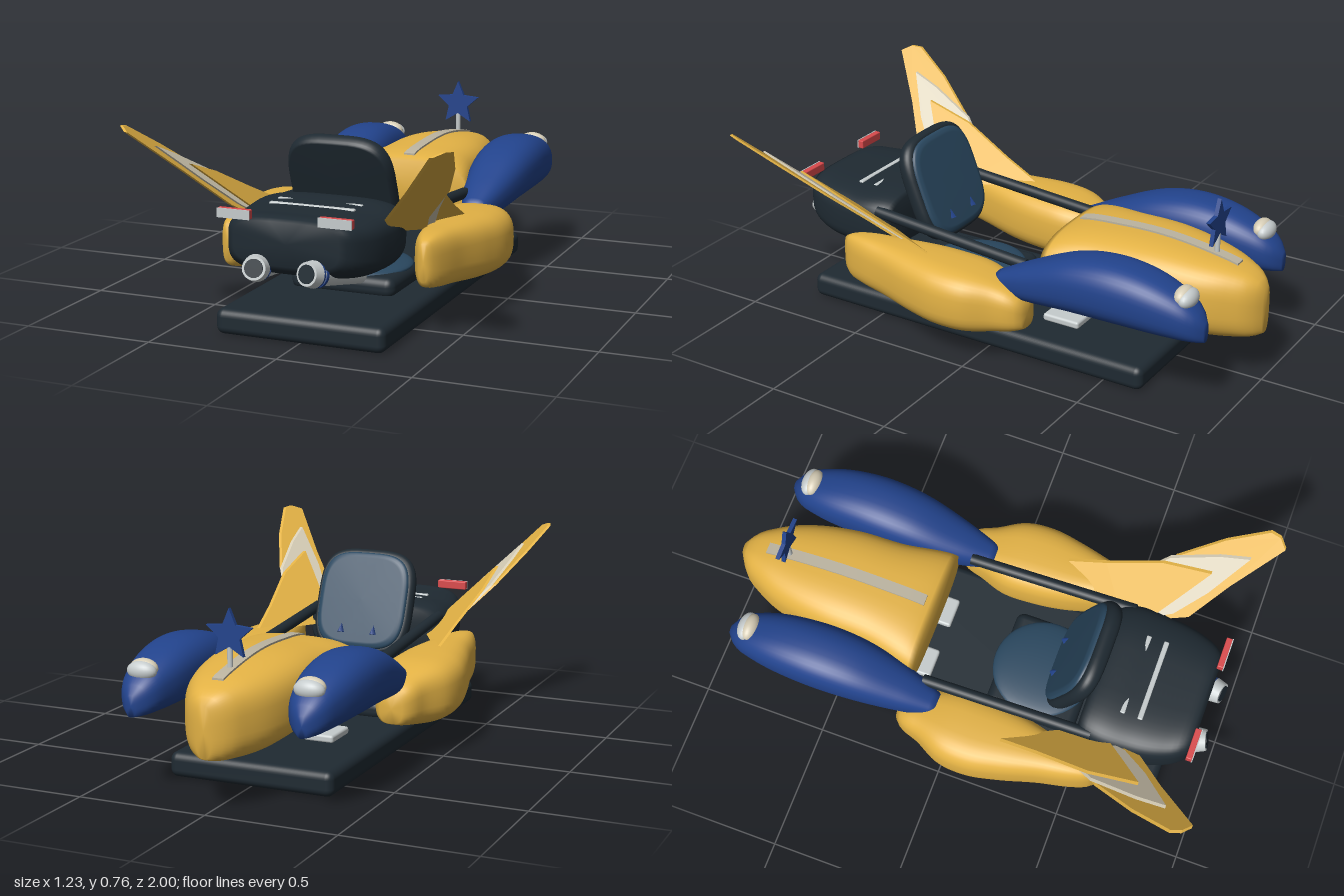
import * as THREE from 'three';
import { RoundedBoxGeometry } from 'three/addons/geometries/RoundedBoxGeometry.js';

const paint = (name, color) => Object.assign(new THREE.MeshStandardMaterial({ color }), { name });

export function createModel() {
  const model = new THREE.Group();
  model.name = 'hoverRide';
  const yellow = paint('yellow', 0xe3b245);
  const blue = paint('blue', 0x22438c);
  const dark = paint('darkSlate', 0x1f2a32);
  const teal = paint('seatBlue', 0x2a4860);
  const silver = paint('silver', 0xc6cccd);
  const cream = paint('cream', 0xd6cdb6);
  const warmGrey = paint('warmGrey', 0xbcb4a0);
  const red = paint('red', 0xda4a4c);

  const add = (name, geo, mat, x = 0, y = 0, z = 0, parent = model) => {
    const m = new THREE.Mesh(geo, mat);
    m.name = name;
    m.position.set(x, y, z);
    parent.add(m);
    return m;
  };
  const box = (w, h, d, r) => new RoundedBoxGeometry(w, h, d, 4, r);

  // Smooth interpolation through rows of [z, ...values]
  const profile = (rows) => {
    const n = rows[0].length - 1;
    const f = new THREE.CubicInterpolant(rows.map((r) => r[0]), rows.flatMap((r) => r.slice(1)), n);
    return (z) => Array.from(f.evaluate(z));
  };

  // Loft of superellipse rings with softly shaded ends; rows are [z, centre x, half width, bottom, top]
  const loft = (rows, power, steps = 28, around = 40, side = 1) => {
    const at = profile(rows), z0 = rows[0][0], z1 = rows[rows.length - 1][0];
    const pos = [], idx = [];
    const soft = (v) => Math.sign(v) * Math.pow(Math.abs(v), 2 / power);
    for (let i = 0; i <= steps; i++) {
      const z = z0 + ((z1 - z0) * i) / steps;
      const [cx, hw, lo, hi] = at(z);
      for (let j = 0; j < around; j++) {
        const a = (j / around) * Math.PI * 2;
        pos.push(side * cx + hw * soft(Math.cos(a)), (lo + hi) / 2 + ((hi - lo) / 2) * soft(Math.sin(a)), z);
      }
    }
    for (let i = 0; i < steps; i++) for (let j = 0; j < around; j++) {
      const k = (j + 1) % around, p = i * around, q = p + around;
      idx.push(p + j, p + k, q + k, p + j, q + k, q + j);
    }
    // End caps
    for (const [z, s] of [[z0, 0], [z1, steps * around]]) {
      const [cx, , lo, hi] = at(z), c = pos.length / 3;
      pos.push(side * cx, (lo + hi) / 2, z);
      for (let j = 0; j < around; j++) {
        const k = (j + 1) % around;
        idx.push(c, s + (s ? j : k), s + (s ? k : j));
      }
    }
    const g = new THREE.BufferGeometry();
    g.setAttribute('position', new THREE.Float32BufferAttribute(pos, 3));
    g.setIndex(idx);
    g.computeVertexNormals();
    return g;
  };

  // Cylinder between two points
  const rod = (name, a, b, r0, r1, mat) => {
    const d = b.clone().sub(a);
    const m = add(name, new THREE.CylinderGeometry(r1, r0, d.length(), 24), mat);
    m.position.copy(a).add(b).multiplyScalar(0.5);
    m.quaternion.setFromUnitVectors(new THREE.Vector3(0, 1, 0), d.normalize());
  };

  // Base plate, pedestal and seat
  add('base', box(0.655, 0.095, 1.495, 0.03), dark, 0, 0.0475, 0.083);
  add('pedestal', box(0.415, 0.08, 0.37, 0.035), dark, 0, 0.12, 0.27);
  add('seatCushion', new THREE.SphereGeometry(0.2, 40, 20).scale(1, 0.16, 1), teal, 0, 0.157, 0.26);

  // Tilted backrest
  const back = new THREE.Group();
  back.name = 'backrest';
  back.position.set(0, 0.482, 0.415);
  back.rotation.x = 0.365;
  model.add(back);
  add('backShell', loft([[-0.033, 0, 0.19, -0.198, 0.198], [-0.024, 0, 0.202, -0.21, 0.21],
    [0.022, 0, 0.202, -0.21, 0.21], [0.033, 0, 0.192, -0.2, 0.2]], 3.6, 12, 56), dark, 0, 0, 0, back);
  add('backPad', loft([[-0.05, 0, 0.165, -0.173, 0.173], [-0.044, 0, 0.182, -0.19, 0.19],
    [-0.028, 0, 0.191, -0.199, 0.199]], 3.6, 8, 56), teal, 0, 0, 0, back);
  for (const s of [-1, 1])
    add('backPin', new THREE.ConeGeometry(0.015, 0.038, 4), blue, s * 0.07, -0.12, -0.05, back);

  // Nose body with centre stripe
  const noseRows = [[-1, 0, 0.03, 0.2, 0.39], [-0.97, 0, 0.075, 0.187, 0.42], [-0.9, 0, 0.125, 0.178, 0.45],
    [-0.8, 0, 0.172, 0.175, 0.472], [-0.6, 0, 0.212, 0.193, 0.497], [-0.4, 0, 0.222, 0.218, 0.495],
    [-0.22, 0, 0.255, 0.228, 0.475], [-0.19, 0, 0.255, 0.24, 0.462]];
  add('nose', loft(noseRows, 2.9, 36, 48), yellow);
  const noseAt = profile(noseRows);
  const stripe = new THREE.BoxGeometry(0.044, 0.01, 0.66, 1, 1, 20).translate(0, 0, -0.56);
  const sp = stripe.attributes.position;
  for (let i = 0; i < sp.count; i++) sp.setY(i, sp.getY(i) + noseAt(sp.getZ(i))[3] + 0.002);
  stripe.computeVertexNormals();
  add('noseStripe', stripe, warmGrey);

  // Star ornament on its post
  add('starPost', new THREE.CylinderGeometry(0.01, 0.01, 0.1, 12), silver, 0, 0.5, -0.795);
  const star = new THREE.Shape();
  for (let i = 0; i < 10; i++) {
    const r = i % 2 ? 0.043 : 0.094, a = Math.PI / 2 + (i * Math.PI) / 5;
    star[i ? 'lineTo' : 'moveTo'](r * Math.cos(a), r * Math.sin(a));
  }
  star.closePath();
  add('star', new THREE.ExtrudeGeometry(star, { depth: 0.016, bevelEnabled: false }), blue, 0, 0.595, -0.803);

  // Rear deck with stripes
  add('rearDeck', loft([[0.48, 0, 0.265, 0.265, 0.462], [0.5, 0, 0.28, 0.252, 0.472], [0.7, 0, 0.29, 0.236, 0.473],
    [0.82, 0, 0.265, 0.252, 0.473], [0.89, 0, 0.228, 0.28, 0.473], [0.915, 0, 0.2, 0.305, 0.462]], 3.7, 24, 56), dark);
  for (const z of [0.625, 0.695])
    add('deckStripe', box(0.33, 0.012, 0.02, 0.005), silver, 0, 0.47, z);

  // Fin layers: name, colour, inset, outline as [z, y]
  const fins = [
    ['OuterFin', yellow, 0, [[0.93, 0.76], [0.97, 0.765], [1, 0.75], [0.85, 0.59], [0.74, 0.46], [0.6, 0.385], [0.4, 0.35], [0.5, 0.42], [0.62, 0.555], [0.78, 0.67]]],
    ['MiddleFin', cream, 0.018, [[0.89, 0.685], [0.78, 0.64], [0.6, 0.552], [0.48, 0.45], [0.36, 0.36], [0.55, 0.37], [0.68, 0.45], [0.78, 0.55]]],
    ['InnerFin', yellow, 0.036, [[0.77, 0.603], [0.58, 0.54], [0.37, 0.44], [0.2, 0.365], [0.5, 0.355], [0.6, 0.41], [0.68, 0.5]]],
  ];

  const V = (x, y, z) => new THREE.Vector3(x, y, z);
  for (const s of [-1, 1]) {
    const side = s > 0 ? 'left' : 'right';

    // Blue front fender with headlight
    add(side + 'Fender', loft([[-0.92, 0.33, 0.02, 0.29, 0.37], [-0.89, 0.328, 0.055, 0.288, 0.41], [-0.8, 0.327, 0.092, 0.288, 0.468],
      [-0.6, 0.328, 0.12, 0.29, 0.518], [-0.4, 0.326, 0.117, 0.285, 0.5], [-0.2, 0.325, 0.085, 0.268, 0.42],
      [-0.06, 0.33, 0.045, 0.265, 0.35]], 2.5, 36, 40, s), blue);
    add(side + 'HeadlightHousing', new THREE.SphereGeometry(1, 28, 16).scale(0.055, 0.036, 0.032), cream, s * 0.325, 0.45, -0.828);
    add(side + 'HeadlightLens', new THREE.SphereGeometry(1, 28, 16).scale(0.058, 0.036, 0.034), silver, s * 0.325, 0.443, -0.844);

    // Yellow side pod
    add(side + 'Pod', loft([[-0.205, 0.365, 0.045, 0.165, 0.275], [-0.18, 0.365, 0.07, 0.155, 0.3], [-0.1, 0.367, 0.1, 0.138, 0.335],
      [0, 0.376, 0.143, 0.126, 0.362], [0.12, 0.381, 0.15, 0.126, 0.372], [0.25, 0.377, 0.13, 0.135, 0.375],
      [0.4, 0.376, 0.09, 0.155, 0.374], [0.52, 0.38, 0.06, 0.172, 0.372], [0.58, 0.384, 0.035, 0.188, 0.362],
      [0.605, 0.385, 0.018, 0.21, 0.35]], 3, 40, 40, s), yellow);

    // Layered fins leaning outwards and turned towards the nose
    for (const [name, mat, inset, pts] of fins) {
      const shape = new THREE.Shape(pts.map((p) => new THREE.Vector2(p[0], p[1])));
      const g = new THREE.ExtrudeGeometry(shape, { depth: 0.012, bevelEnabled: false });
      const p = g.attributes.position;
      for (let i = 0; i < p.count; i++) {
        const z = p.getX(i), y = p.getY(i), w = p.getZ(i);
        p.setXYZ(i, s * (0.58 + (y - 0.755) * 1.33 - (z - 0.98) * 0.47 - inset) - w + 0.006, y, z);
      }
      g.computeVertexNormals();
      add(side + name, g, mat);
    }

    // Rail between fender and deck
    rod(side + 'Rail', V(s * 0.268, 0.365, -0.14), V(s * 0.268, 0.42, 0.54), 0.022, 0.022, dark);

    // Exhaust pipe with collars, tip and opening
    const a = V(s * 0.165, 0.232, 0.66), b = V(s * 0.1, 0.302, 0.96);
    const at = (t) => a.clone().lerp(b, t);
    rod(side + 'ExhaustPipe', a, at(0.8), 0.033, 0.042, silver);
    rod(side + 'ExhaustCollar', at(0.78), at(0.82), 0.047, 0.047, blue);
    rod(side + 'ExhaustBand', at(0.82), at(0.85), 0.044, 0.044, silver);
    rod(side + 'ExhaustCollar', at(0.85), at(0.88), 0.048, 0.048, blue);
    rod(side + 'ExhaustTip', at(0.88), b, 0.049, 0.042, silver);
    rod(side + 'ExhaustOpening', at(0.99), at(1.01), 0.033, 0.033, dark);

    // Tail light and foot plate
    add(side + 'TailLight', box(0.125, 0.034, 0.024, 0.004), red, s * 0.192, 0.479, 0.916);
    add(side + 'TailLens', new THREE.BoxGeometry(0.125, 0.034, 0.004), silver, s * 0.192, 0.479, 0.929);
    add(side + 'FootPlate', box(0.12, 0.03, 0.155, 0.01), silver, s * 0.115, 0.107, -0.235);
  }
  return model;
}
